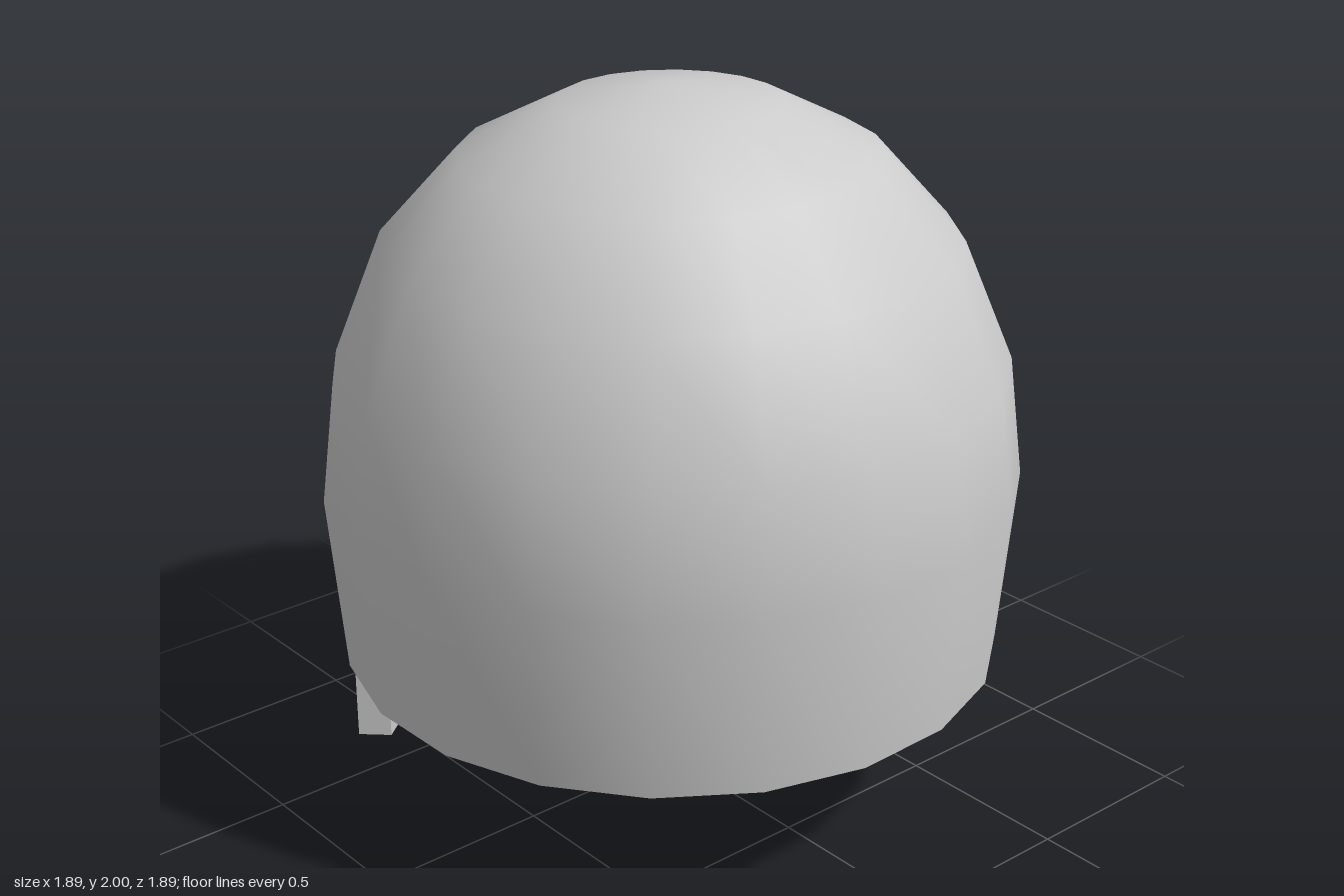
import * as THREE from 'three';

const SIDES = 20;
// [radius, height] from rim to crown
const OUTER = [[0.91, 0.425], [0.952, 0.925], [0.91, 1.26], [0.773, 1.585], [0.56, 1.82], [0.299, 1.953], [0, 2]];
const INNER = [[0.815, 0.425], [0.845, 0.925], [0.8, 1.22], [0.69, 1.51], [0.5, 1.73], [0.27, 1.86], [0, 1.9]];
const WINDOWS = [[7, 9], [10, 12]]; // column ranges of the two openings
const GUARD_BOTTOMS = [0.04, 0.01, 0, 0.035, 0.05]; // one per column from 7 on
const GUARD_START = 7;
const SILL = 1, LINTEL = 2;
// Lintel heights along the columns 7..12, sagging towards the post between the openings
const LINTEL_Y = [1.24, 1.23, 1.205, 1.205, 1.23, 1.24];

const polar = (r, y, k) => {
  const a = THREE.MathUtils.degToRad(7.5 + (360 / SIDES) * k);
  return [r * Math.cos(a), y, r * Math.sin(a)];
};

const point = (profile, ring, k) => {
  const [r, y] = profile[ring];
  const j = k - GUARD_START;
  if (ring === LINTEL && j >= 0 && j < LINTEL_Y.length) {
    return polar(r, profile === OUTER ? LINTEL_Y[j] : 1.2, k);
  }
  return polar(r, y, k);
};

const isWindow = (ring, k) => ring === SILL && WINDOWS.some(([a, b]) => k >= a && k < b);

const makeMesh = (name, geometry, flat) => {
  geometry.computeVertexNormals();
  const mesh = new THREE.Mesh(geometry, new THREE.MeshStandardMaterial({ color: 0xcccccc, flatShading: flat }));
  mesh.name = name;
  return mesh;
};

// Smooth dome skin with the openings left out
function skin(name, profile, inward) {
  const positions = [], index = [];
  const last = profile.length - 1;
  for (let i = 0; i < last; i++) {
    for (let k = 0; k < SIDES; k++) positions.push(...point(profile, i, k));
  }
  positions.push(0, profile[last][1], 0);
  const tri = (a, b, c) => (inward ? index.push(a, c, b) : index.push(a, b, c));
  for (let i = 0; i < last; i++) {
    for (let k = 0; k < SIDES; k++) {
      if (isWindow(i, k)) continue;
      const n = (k + 1) % SIDES;
      const a = i * SIDES + k, b = i * SIDES + n;
      if (i === last - 1) {
        tri(a, last * SIDES, b);
      } else {
        tri(a, a + SIDES, b + SIDES);
        tri(a, b + SIDES, b);
      }
    }
  }
  const geometry = new THREE.BufferGeometry();
  geometry.setAttribute('position', new THREE.Float32BufferAttribute(positions, 3));
  geometry.setIndex(index);
  return makeMesh(name, geometry, false);
}

// Flat faces from a list of four-cornered loops
function facets(name, quads) {
  const positions = quads.flatMap(([a, b, c, d]) => [...a, ...b, ...c, ...a, ...c, ...d]);
  const geometry = new THREE.BufferGeometry();
  geometry.setAttribute('position', new THREE.Float32BufferAttribute(positions, 3));
  return makeMesh(name, geometry, true);
}

// Upward strip between inner and outer skin over one column
const ledge = (ring, k) => [
  point(INNER, ring, k), point(INNER, ring, k + 1), point(OUTER, ring, k + 1), point(OUTER, ring, k),
];

// Sill, lintel and jambs through the wall
function windowReveal(name, [start, end]) {
  const quads = [];
  for (let k = start; k < end; k++) quads.push(ledge(SILL, k), ledge(LINTEL, k).reverse());
  const jamb = (k) => [point(INNER, SILL, k), point(OUTER, SILL, k), point(OUTER, LINTEL, k), point(INNER, LINTEL, k)];
  quads.push(jamb(start), jamb(end).reverse());
  return facets(name, quads);
}

// Curved plate of flat panels hanging under the rim, with a stepped lower edge
function neckGuard() {
  const quads = [];
  const ro = OUTER[0][0], ri = INNER[0][0], top = OUTER[0][1];
  const side = (k, low, high) => [polar(ri, low, k), polar(ro, low, k), polar(ro, high, k), polar(ri, high, k)];
  GUARD_BOTTOMS.forEach((low, i) => {
    const k = GUARD_START + i;
    const before = GUARD_BOTTOMS[i - 1] ?? top;
    const after = GUARD_BOTTOMS[i + 1] ?? top;
    const wall = (r) => [polar(r, low, k), polar(r, top, k), polar(r, top, k + 1), polar(r, low, k + 1)];
    quads.push(wall(ro), wall(ri).reverse());
    quads.push([polar(ri, low, k), polar(ro, low, k), polar(ro, low, k + 1), polar(ri, low, k + 1)]);
    if (before > low) quads.push(side(k, low, before).reverse());
    if (after > low) quads.push(side(k + 1, low, after));
  });
  return facets('neckGuard', quads);
}

export function createModel() {
  const group = new THREE.Group();
  group.name = 'helmet';
  group.add(skin('outerShell', OUTER, false), skin('innerShell', INNER, true));

  // Rim, open where the guard joins
  const rim = [];
  for (let k = 0; k < SIDES; k++) {
    if (k < GUARD_START || k >= GUARD_START + GUARD_BOTTOMS.length) rim.push(ledge(0, k).reverse());
  }
  group.add(facets('rim', rim));

  group.add(windowReveal('frontWindowReveal', WINDOWS[0]), windowReveal('backWindowReveal', WINDOWS[1]));
  group.add(neckGuard());
  return group;
}
